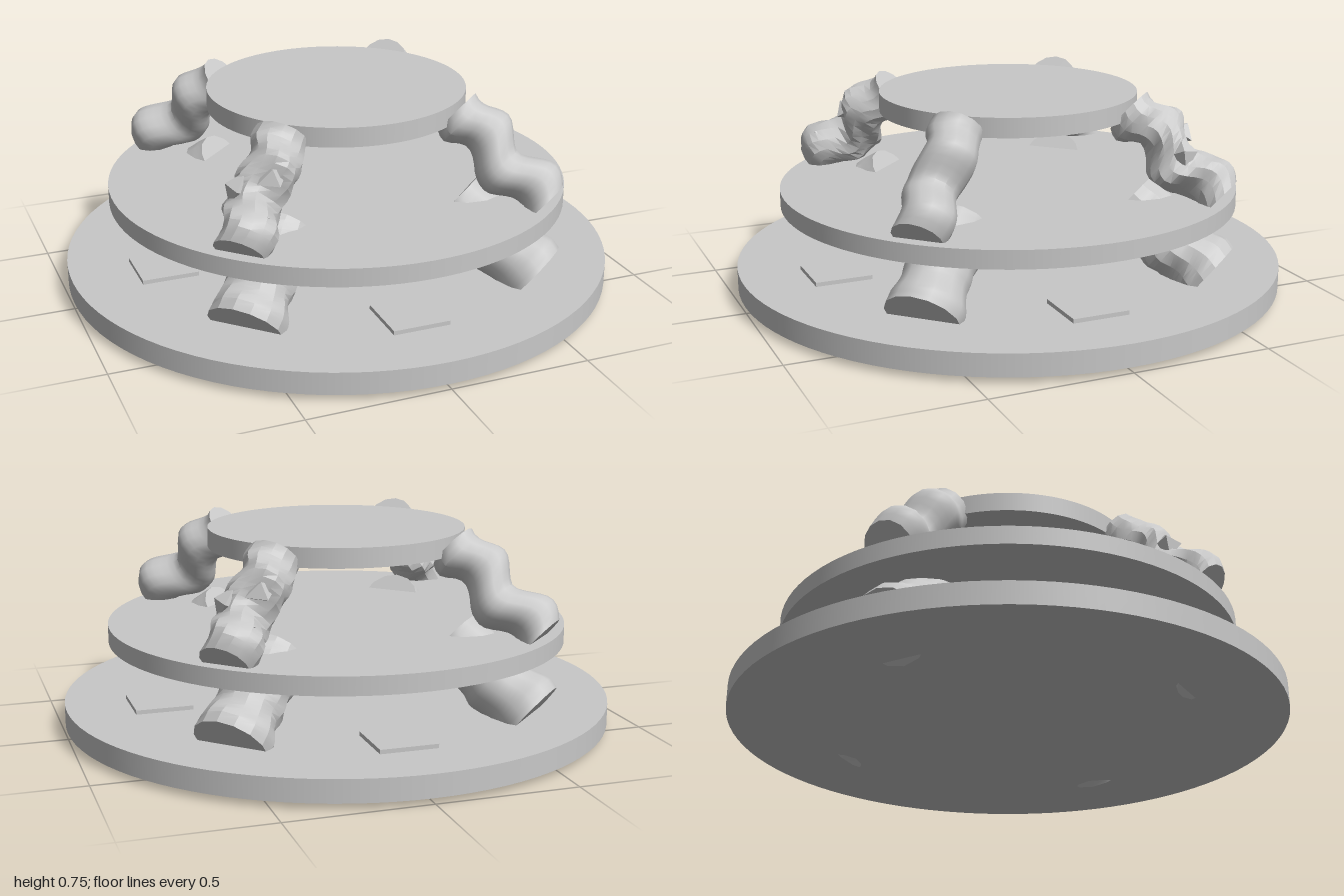
import * as THREE from 'three';
import { toCreasedNormals } from 'three/addons/utils/BufferGeometryUtils.js';

const stone = new THREE.MeshStandardMaterial({ color: 0xc8c8c8 });
stone.name = 'grey stone';

function add(parent, geometry, name, x = 0, y = 0, z = 0) {
  const mesh = new THREE.Mesh(geometry, stone);
  mesh.name = name;
  mesh.position.set(x, y, z);
  parent.add(mesh);
  return mesh;
}

// Value of a list of evenly spaced samples at t in 0..1
function sample(list, t) {
  const f = t * (list.length - 1), i = Math.min(Math.floor(f), list.length - 2);
  return list[i] + (list[i + 1] - list[i]) * (f - i);
}

// Frame of a leg running along the diagonal from top to foot
function legFrame(top, foot) {
  const up = top.clone().sub(foot).normalize();
  const side = new THREE.Vector3(1, 0, -1).normalize();
  const out = new THREE.Vector3().crossVectors(side, up);
  if (out.y < 0) { side.negate(); out.negate(); }
  return { up, side, out };
}

// A capped column bent onto a wavy axis, with its own radius profile
function legGeometry(top, foot, radii, wave, crumple) {
  const { side, out } = legFrame(top, foot);
  const geo = new THREE.CylinderGeometry(1, 1, 1, 14, 20);
  const pos = geo.attributes.position;
  const sideSign = side.x > 0 ? 1 : -1;
  for (let i = 0; i < pos.count; i++) {
    const x = pos.getX(i), z = pos.getZ(i), t = 0.5 - pos.getY(i);
    const angle = Math.atan2(z, x);
    const bend = -wave * Math.cos(t * Math.PI * 3.5) * Math.min(1, t * 6);
    const dent = 1 + crumple * Math.sin(angle * 3 + t * 17) * Math.sin(t * Math.PI);
    const r = sample(radii, t) * dent;
    const p = top.clone().lerp(foot, t)
      .addScaledVector(side, x * r + bend * sideSign)
      .addScaledVector(out, z * r + bend);
    pos.setXYZ(i, p.x, p.y, p.z);
  }
  return toCreasedNormals(geo, crumple > 0 ? 0.4 : 0.7);
}

export function createModel() {
  const model = new THREE.Group();
  model.name = 'tieredStand';

  // Three round tiers: name, radius, bottom, top
  for (const [name, r, y0, y1] of [
    ['bottomTier', 1, 0.02, 0.1],
    ['middleTier', 0.835, 0.315, 0.38],
    ['topTier', 0.468, 0.65, 0.72],
  ]) {
    add(model, new THREE.CylinderGeometry(r, r, y1 - y0, 96), name, 0, (y0 + y1) / 2, 0);
  }

  // Square pads on the bottom tier
  for (const [x, z] of [[0, 0.67], [0.67, 0], [0, -0.67], [-0.67, 0]]) {
    add(model, new THREE.BoxGeometry(0.205, 0.03, 0.205), 'squarePad', x, 0.1, z);
  }

  const upperTop = new THREE.Vector3(0.325, 0.678, 0.325);
  const upperFoot = new THREE.Vector3(0.56, 0.385, 0.56);
  const lowerTop = new THREE.Vector3(0.33, 0.345, 0.33);
  const lowerFoot = new THREE.Vector3(0.54, 0.104, 0.54);
  const upperRadii = [0.092, 0.096, 0.088, 0.094, 0.094, 0.088, 0.096, 0.094, 0.092, 0.09];
  const lowerRadii = [0.115, 0.122, 0.117, 0.12, 0.113, 0.12, 0.114, 0.12, 0.134, 0.134];

  // Legs alternate between smooth and crumpled around the stand
  for (let i = 0; i < 4; i++) {
    const crumpled = i % 2 === 1;
    const leg = new THREE.Group();
    leg.name = crumpled ? 'crumpledLeg' : 'smoothLeg';
    leg.rotation.y = i * Math.PI / 2;
    add(leg, legGeometry(upperTop, upperFoot, upperRadii, 0.024, crumpled ? 0.12 : 0), 'upperLeg');
    add(leg, legGeometry(lowerTop, lowerFoot, lowerRadii, 0.006, crumpled ? 0.05 : 0), 'lowerLeg');

    // Broken flakes standing out from the crumpled legs
    if (crumpled) {
      const { side, out } = legFrame(upperTop, upperFoot);
      for (const [t, s, o, size] of [[0.42, 0.05, 0.06, 0.06], [0.55, -0.06, 0.05, 0.065], [0.75, 0.05, 0.05, 0.06]]) {
        const p = upperTop.clone().lerp(upperFoot, t).addScaledVector(side, s).addScaledVector(out, o);
        const flake = add(leg, toCreasedNormals(new THREE.OctahedronGeometry(size), 0.2), 'flake', p.x, p.y, p.z);
        flake.scale.set(1, 0.7, 0.8);
        flake.rotation.set(t * 5, s * 20, t * 3);
      }
    }
    model.add(leg);
  }
  return model;
}
